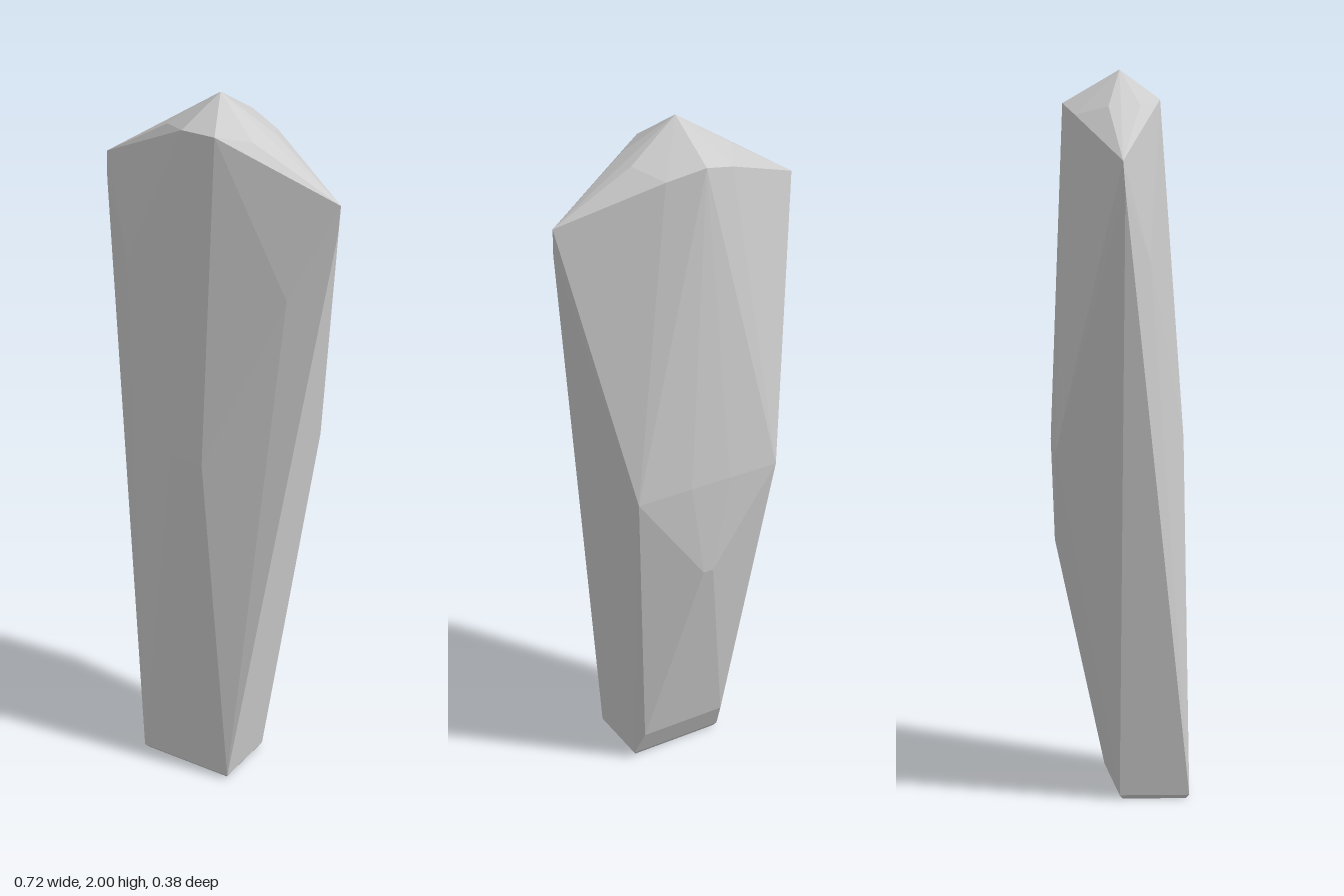
import * as THREE from 'three';
import { ConvexGeometry } from 'three/addons/geometries/ConvexGeometry.js';

export function createModel() {
  const group = new THREE.Group();
  group.name = 'crystalShard';
  const paleStone = new THREE.MeshStandardMaterial({ color: 0xcccccc });
  paleStone.name = 'paleStone';

  // Corners of the +x half, mirrored across the centre plane
  const corners = [
    // foot with a tiny bevel
    [0.135, 0, 0.18], [0.135, 0, 0.005], [0.143, 0.012, 0.19], [0.143, 0.012, -0.003],
    [0.13, 0.1, -0.045],
    // belly and back ridge
    [0.015, 0.71, -0.18], [0.06, 1.0, -0.19], [0.218, 0.99, -0.176],
    // front facets
    [0.05, 1.0, 0.175], [0.25, 1.5, 0.075],
    // shoulder
    [0.361, 1.765, 0], [0.358, 1.69, 0.006],
    // crown rim and crown crease
    [0.05, 1.92, 0.108], [0.13, 1.905, 0.052], [0.1, 1.88, -0.122], [0.15, 1.902, -0.033],
  ];
  const points = [new THREE.Vector3(0, 2, 0), new THREE.Vector3(0, 1.91, -0.155)];
  for (const [x, y, z] of corners) {
    for (const side of [-1, 1]) points.push(new THREE.Vector3(side * x, y, z));
  }

  // Faceted body
  const body = new THREE.Mesh(new ConvexGeometry(points), paleStone);
  body.name = 'facetedBody';
  group.add(body);
  return group;
}
